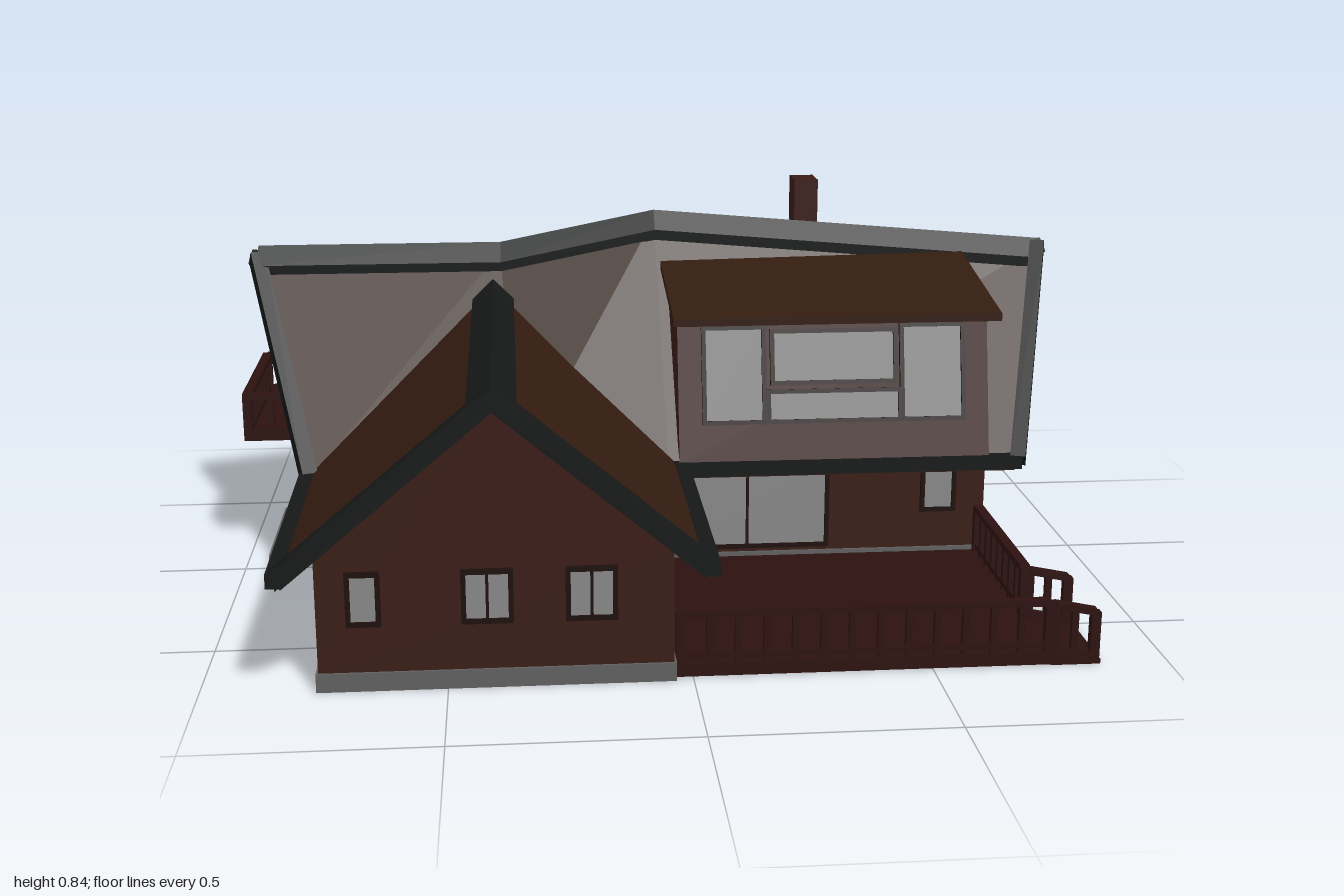
import * as THREE from 'three';

const mat = (color) => new THREE.MeshStandardMaterial({ color, flatShading: true });
const WALL = mat(0x3a1c16), ROOF = mat(0x331c10), TRIM = mat(0x161818), WOOD = mat(0x2c1210);
const FRAME = mat(0x1c0e0b), GLASS = mat(0x888888), STONE = mat(0x606060);
const V = (x, y, z) => new THREE.Vector3(x, y, z);

export function createModel() {
  const house = new THREE.Group();
  house.name = 'house';

  const add = (name, geo, m, parent = house) => {
    const mesh = new THREE.Mesh(geo, m);
    mesh.name = name;
    parent.add(mesh);
    return mesh;
  };
  // Box from its minimum and maximum corners
  const box = (name, m, x0, x1, y0, y1, z0, z1, parent) => {
    const b = add(name, new THREE.BoxGeometry(x1 - x0, y1 - y0, z1 - z0), m, parent);
    b.position.set((x0 + x1) / 2, (y0 + y1) / 2, (z0 + z1) / 2);
    return b;
  };
  // Beam between two points
  const bar = (name, m, a, b, w, h, parent) => {
    const mesh = add(name, new THREE.BoxGeometry(w, h, a.distanceTo(b)), m, parent);
    mesh.position.copy(a).add(b).multiplyScalar(0.5);
    mesh.lookAt(b);
    return mesh;
  };
  // Sloping sheet of four top corners with a vertical thickness
  const slab = (name, m, pts, t) => {
    const n = V(0, 0, 0).crossVectors(pts[1].clone().sub(pts[0]), pts[2].clone().sub(pts[0]));
    const top = n.y < 0 ? [...pts].reverse() : pts;
    const low = top.map((p) => V(p.x, p.y - t, p.z));
    const out = [];
    const quad = (a, b, c, d) => out.push(a, b, c, a, c, d);
    quad(...top);
    quad(...[...low].reverse());
    top.forEach((p, i) => {
      const j = (i + 1) % 4;
      quad(p, low[i], low[j], top[j]);
    });
    const g = new THREE.BufferGeometry().setFromPoints(out);
    g.computeVertexNormals();
    return add(name, g, m);
  };
  const extrude = (pts, depth) => new THREE.ExtrudeGeometry(
    new THREE.Shape(pts.map((p) => new THREE.Vector2(...p))), { depth, bevelEnabled: false });
  // Side profile given as (z, y), swept from x0 to x1
  const sweepX = (name, m, pts, x0, x1) => {
    const mesh = add(name, extrude(pts.map(([z, y]) => [-z, y]), x1 - x0), m);
    mesh.rotation.y = Math.PI / 2;
    mesh.position.x = x0;
    return mesh;
  };

  // Foundation and walls
  box('mainFoundation', STONE, -0.765, 0.765, 0, 0.04, -0.725, 0.09);
  box('wingFoundation', STONE, -0.765, -0.035, 0, 0.04, 0.09, 0.735);
  sweepX('mainWalls', WALL,
    [[0.085, 0.04], [0.085, 0.28], [-0.315, 0.675], [-0.72, 0.28], [-0.72, 0.04]], -0.76, 0.76);
  add('wingWalls', extrude(
    [[-0.76, 0.04], [-0.04, 0.04], [-0.04, 0.29], [-0.4, 0.6], [-0.76, 0.29]], 0.73), WALL);

  // Main roof: kinked ridge over straight eaves
  const RZ = -0.315;
  const ridge = [[-0.97, 0.7], [-0.38, 0.7], [0, 0.775], [0.97, 0.69]];
  const eaveX = [-0.82, -0.35, 0, 0.82];
  for (let i = 0; i < 3; i++) {
    const [x0, y0] = ridge[i], [x1, y1] = ridge[i + 1];
    for (const [ez, s] of [[0.13, 1], [-0.76, -1]]) {
      slab('mainRoof', ROOF, [V(x0, y0, RZ), V(x1, y1, RZ),
        V(eaveX[i + 1], 0.265, ez), V(eaveX[i], 0.265, ez)], 0.025);
      slab('mainRidgeCap', TRIM, [V(x0, y0 + 0.023, RZ), V(x1, y1 + 0.023, RZ),
        V(x1, y1 - 0.02, RZ + 0.043 * s), V(x0, y0 - 0.02, RZ + 0.043 * s)], 0.025);
    }
  }
  box('frontGutter', TRIM, 0.01, 0.83, 0.25, 0.28, 0.12, 0.155);
  box('backGutter', TRIM, -0.83, 0.83, 0.25, 0.275, -0.795, -0.75);
  for (const s of [-1, 1]) {
    for (const ez of [0.135, -0.765]) {
      bar('mainBargeBoard', TRIM, V(0.975 * s, 0.695, RZ), V(0.825 * s, 0.265, ez), 0.035, 0.04);
    }
  }

  // Front wing roof, running back to the valleys
  for (const ex of [-0.83, 0.03]) {
    const s = ex < -0.4 ? -1 : 1;
    slab('wingRoof', ROOF, [V(-0.4, 0.625, 0.79), V(-0.4, 0.625, -0.25),
      V(ex, 0.265, 0.13), V(ex, 0.265, 0.79)], 0.025);
    slab('wingRidgeCap', TRIM, [V(-0.4, 0.642, 0.8), V(-0.4, 0.642, -0.26),
      V(-0.4 + 0.05 * s, 0.602, -0.21), V(-0.4 + 0.05 * s, 0.602, 0.8)], 0.025);
    bar('wingBargeBoard', TRIM, V(-0.4, 0.622, 0.785), V(ex, 0.262, 0.785), 0.03, 0.04);
    box('wingGutter', TRIM, ex - 0.016, ex + 0.016, 0.25, 0.28, 0.12, 0.8);
  }

  // Front dormer with leaning face, back dormer, chimney
  sweepX('frontDormerWalls', WALL,
    [[0.135, 0.28], [0.055, 0.61], [-0.2, 0.66], [-0.2, 0.5]], 0.025, 0.755);
  slab('frontDormerRoof', ROOF, [V(0.01, 0.622, 0.14), V(0.77, 0.622, 0.14),
    V(0.77, 0.69, -0.27), V(0.01, 0.685, -0.23)], 0.018);
  sweepX('backDormerWalls', WALL,
    [[-0.72, 0.28], [-0.72, 0.605], [-0.39, 0.665], [-0.4, 0.4]], 0.465, 0.715);
  slab('backDormerRoof', ROOF, [V(0.44, 0.605, -0.805), V(0.74, 0.605, -0.805),
    V(0.74, 0.685, -0.38), V(0.44, 0.685, -0.38)], 0.018);
  box('chimney', WALL, 0.375, 0.435, 0.4, 0.845, -0.55, -0.46);

  // Windows: each side is a group whose local z faces outward
  const side = (name, x, y, z, ry, rx = 0) => {
    const g = new THREE.Group();
    g.name = name;
    g.position.set(x, y, z);
    g.rotation.set(rx, ry, 0);
    house.add(g);
    return g;
  };
  const win = (g, x0, x1, y0, y1, panes = 1, f = 0.01) => {
    box('windowGlass', GLASS, x0, x1, y0, y1, -0.01, 0.004, g);
    for (let i = 0; i <= panes; i++) {
      const x = x0 + (x1 - x0) * i / panes;
      const edge = i === 0 ? [-f, 0] : i === panes ? [0, f] : [-0.003, 0.003];
      box('windowFrame', FRAME, x + edge[0], x + edge[1], y0, y1, -0.01, 0.01, g);
    }
    box('windowSill', FRAME, x0 - f, x1 + f, y0 - f, y0, -0.01, 0.01, g);
    box('windowHead', FRAME, x0 - f, x1 + f, y1, y1 + f, -0.01, 0.01, g);
  };
  const wingFront = side('wingFrontWindows', 0, 0, 0.73, 0);
  win(wingFront, -0.69, -0.64, 0.15, 0.245);
  win(wingFront, -0.46, -0.375, 0.15, 0.245, 2);
  win(wingFront, -0.25, -0.165, 0.15, 0.245, 2);

  const front = side('mainFrontWindows', 0, 0, 0.085, 0);
  win(front, 0.005, 0.375, 0.06, 0.25, 2);
  win(front, 0.615, 0.68, 0.14, 0.25);

  const lean = -Math.atan(0.08 / 0.33);
  const dormer = side('frontDormerWindows', 0, 0.28, 0.135, 0, lean);
  win(dormer, 0.09, 0.22, 0.095, 0.305);
  win(dormer, 0.25, 0.53, 0.185, 0.295);
  win(dormer, 0.24, 0.54, 0.095, 0.155);
  win(dormer, 0.555, 0.69, 0.095, 0.305);

  const back = side('backWindows', 0, 0, -0.72, Math.PI);
  win(back, -0.42, -0.045, 0.06, 0.235, 2);
  win(back, 0.39, 0.61, 0.15, 0.235, 2);
  win(back, -0.56, -0.49, 0.19, 0.235, 2, 0.006);
  win(back, -0.69, -0.49, 0.535, 0.565);

  const right = side('rightWindows', 0.76, 0, 0, Math.PI / 2);
  win(right, 0.005, 0.05, 0.16, 0.25);
  win(right, 0.155, 0.2, 0.16, 0.25);
  win(right, 0.365, 0.62, 0.228, 0.248);
  win(right, 0.285, 0.375, 0.51, 0.565, 2);
  const wingRight = side('wingRightWindows', -0.04, 0, 0, Math.PI / 2);
  win(wingRight, -0.585, -0.375, 0.15, 0.245, 2);

  const left = side('leftWindows', -0.76, 0, 0, -Math.PI / 2);
  win(left, -0.67, -0.59, 0.17, 0.245, 2);
  win(left, 0, 0.06, 0.15, 0.245);
  win(left, 0.31, 0.4, 0.15, 0.245, 2);
  win(left, -0.37, -0.2, 0.05, 0.25, 2);
  win(left, -0.38, -0.24, 0.315, 0.5, 2);

  // Triangular gable window
  sweepX('gableWindow', GLASS, [[0.035, 0.32], [-0.22, 0.32], [-0.22, 0.565]], 0.75, 0.766);
  const tri = [V(0.765, 0.318, 0.04), V(0.765, 0.318, -0.222), V(0.765, 0.57, -0.222)];
  tri.forEach((p, i) => bar('gableWindowFrame', FRAME, p, tri[(i + 1) % 3], 0.012, 0.01));

  // Railing: feet at a and b, height h, n balusters
  const railing = (name, a, b, h, n) => {
    const g = new THREE.Group();
    g.name = name;
    house.add(g);
    const up = V(0, h, 0);
    bar('topRail', WOOD, a.clone().add(up), b.clone().add(up), 0.022, 0.014, g);
    bar('bottomRail', WOOD, a.clone().setY(a.y + 0.015), b.clone().setY(b.y + 0.015), 0.014, 0.012, g);
    for (let i = 0; i <= n; i++) {
      const p = a.clone().lerp(b, i / n);
      const w = i === 0 || i === n ? 0.01 : 0.007;
      box('baluster', WOOD, p.x - w, p.x + w, p.y, p.y + h, p.z - w, p.z + w, g);
    }
  };

  // Deck with side steps
  box('deck', WOOD, -0.035, 0.75, 0.002, 0.03, 0.09, 0.72);
  railing('deckFrontRailing', V(-0.025, 0.03, 0.71), V(0.745, 0.03, 0.71), 0.108, 13);
  railing('deckSideRailing', V(0.745, 0.03, 0.1), V(0.745, 0.03, 0.51), 0.108, 8);
  box('deckStep', WOOD, 0.75, 0.8, 0, 0.022, 0.5, 0.72);
  box('deckStep', WOOD, 0.8, 0.855, 0, 0.01, 0.5, 0.72);
  for (const z of [0.51, 0.71]) {
    railing('stepRailing', V(0.755, 0.02, z), V(0.842, 0.002, z), 0.112, 2);
  }

  // Balcony above the side entrance, with stone steps below
  box('balconyFloor', WOOD, -1, -0.75, 0.288, 0.302, -0.535, -0.1);
  railing('balconyOuterRailing', V(-0.99, 0.295, -0.525), V(-0.99, 0.295, -0.11), 0.1, 7);
  for (const z of [-0.525, -0.11]) {
    railing('balconyEndRailing', V(-0.99, 0.295, z), V(-0.77, 0.295, z), 0.1, 4);
  }
  box('entranceStep', STONE, -0.95, -0.76, 0, 0.018, -0.4, -0.04);
  box('entranceLanding', STONE, -0.91, -0.76, 0.018, 0.034, -0.37, -0.07);

  return house;
}
